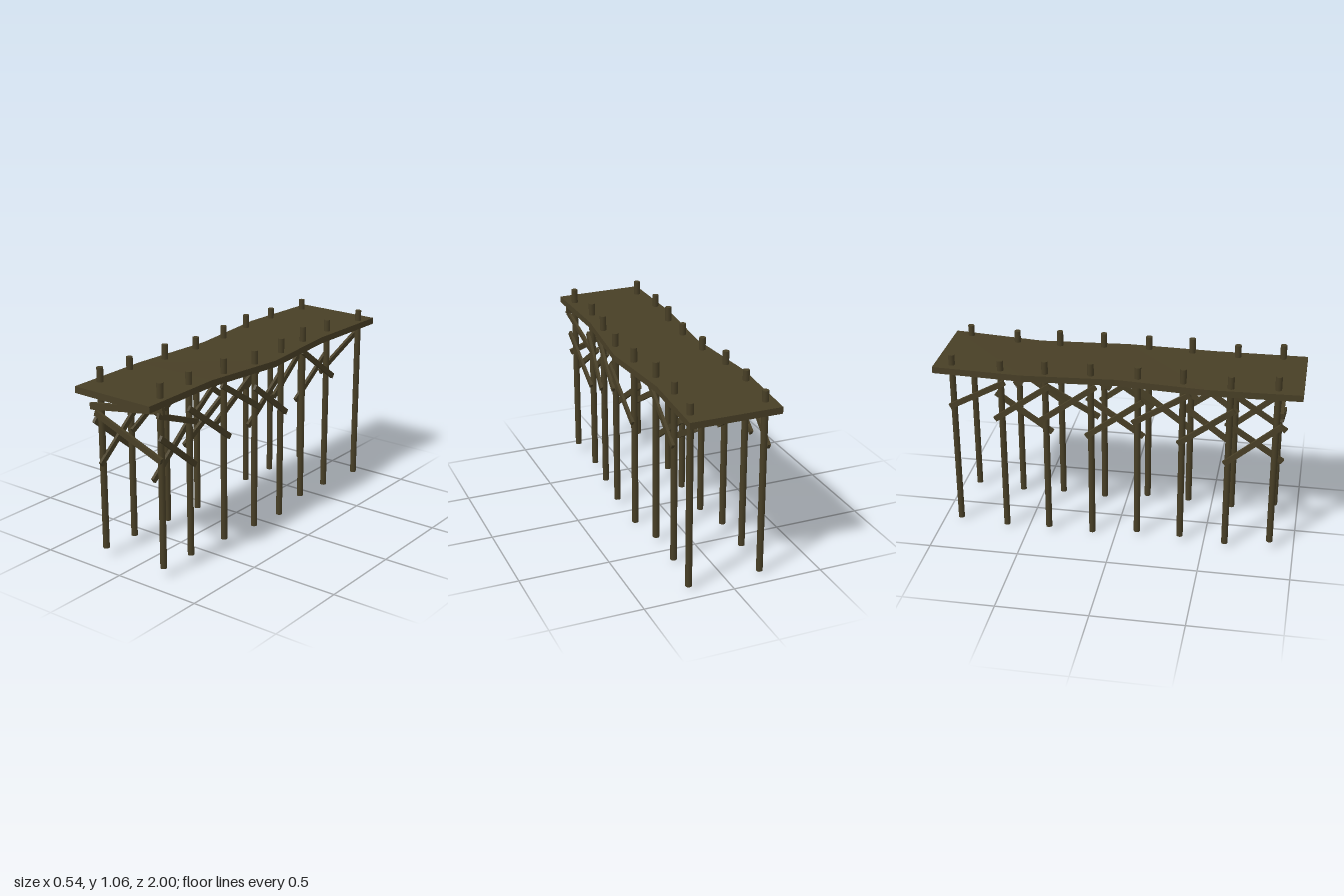
import * as THREE from 'three';

const wood = new THREE.MeshStandardMaterial({ color: 0x483f26 });
wood.name = 'dark wood';

const POST_R = 0.018;
// pile rows from front to back: z, right x, left x, bottom y, top y
const ROWS = [
  [0.867, -0.21, 0.19, 0.055, 1.065],
  [0.62, -0.23, 0.17, 0.03, 1.055],
  [0.365, -0.205, 0.195, 0.035, 1.065],
  [0.12, -0.19, 0.215, 0.03, 1.05],
  [-0.135, -0.195, 0.205, 0.005, 1.055],
  [-0.38, -0.22, 0.18, 0.03, 1.06],
  [-0.625, -0.22, 0.18, 0.02, 1.045],
  [-0.903, -0.19, 0.215, 0.02, 1.045],
];
// deck stations: z, right edge x, left edge x, right top y, left top y
const DECK = [
  [1, -0.26, 0.235, 0.988, 0.985],
  [0.5, -0.27, 0.225, 0.985, 0.985],
  [0, -0.23, 0.267, 0.985, 0.972],
  [-0.5, -0.27, 0.225, 0.988, 0.975],
  [-1, -0.24, 0.26, 0.985, 0.985],
];
// braces per bay: falling toward the back, then rising: front z, front y, back z, back y
const FALLING = [
  [0.90, 0.785, 0.60, 0.545], [0.645, 0.866, 0.345, 0.63],
  [0.405, 0.93, 0.095, 0.725], [0.15, 0.855, -0.16, 0.625],
  [-0.105, 0.925, -0.41, 0.71], [-0.35, 0.925, -0.66, 0.70],
  [-0.60, 0.925, -0.92, 0.74],
];
const RISING = [
  [0.91, 0.55, 0.60, 0.77], [0.635, 0.65, 0.36, 0.84],
  [0.40, 0.71, 0.095, 0.925], [0.15, 0.625, -0.16, 0.84],
  [-0.095, 0.725, -0.41, 0.92], [-0.35, 0.625, -0.66, 0.84],
  [-0.60, 0.73, -0.93, 0.915],
];

// rectangular plank between two points; flat faces the given normal
function plank(name, a, b, normal, width, thick) {
  const dir = b.clone().sub(a);
  const len = dir.length();
  dir.normalize();
  const up = new THREE.Vector3().crossVectors(dir, normal).normalize();
  const n = new THREE.Vector3().crossVectors(up, dir);
  const mesh = new THREE.Mesh(new THREE.BoxGeometry(thick, width, len), wood);
  mesh.name = name;
  mesh.quaternion.setFromRotationMatrix(new THREE.Matrix4().makeBasis(n, up, dir));
  mesh.position.copy(a).add(b).multiplyScalar(0.5);
  return mesh;
}

// winding slab lofted through the deck stations
function deckGeometry() {
  const t = 0.036, tri = [];
  const rings = DECK.map(([z, x0, x1, y0, y1]) => [
    [x0, y0, z], [x1, y1, z], [x1, y1 - t, z], [x0, y0 - t, z],
  ]);
  const quad = (a, b, c, d) => tri.push(...a, ...b, ...c, ...a, ...c, ...d);
  for (let i = 0; i < rings.length - 1; i++) {
    const f = rings[i], k = rings[i + 1];
    for (let j = 0; j < 4; j++) {
      const m = (j + 1) % 4;
      quad(f[j], f[m], k[m], k[j]);
    }
  }
  const f = rings[0], k = rings[rings.length - 1];
  quad(f[3], f[2], f[1], f[0]);
  quad(k[0], k[1], k[2], k[3]);
  const g = new THREE.BufferGeometry();
  g.setAttribute('position', new THREE.Float32BufferAttribute(tri, 3));
  g.computeVertexNormals();
  return g;
}

export function createModel() {
  const model = new THREE.Group();
  model.name = 'pier';

  const deck = new THREE.Mesh(deckGeometry(), wood);
  deck.name = 'deck';
  model.add(deck);

  // piles
  const piles = new THREE.Group();
  piles.name = 'piles';
  for (const [z, xr, xl, y0, y1] of ROWS) {
    for (const x of [xr, xl]) {
      const pile = new THREE.Mesh(new THREE.CylinderGeometry(POST_R, POST_R, y1 - y0, 10), wood);
      pile.name = 'pile';
      pile.position.set(x, (y0 + y1) / 2, z);
      piles.add(pile);
    }
  }
  model.add(piles);

  // side braces: falling ones outside the piles, rising ones inside
  const braces = new THREE.Group();
  braces.name = 'sideBraces';
  const sideNormal = new THREE.Vector3(1, 0, 0);
  const addBrace = (bay, col, offset, [z0, y0, z1, y1]) => {
    const p = ROWS[bay], q = ROWS[bay + 1];
    const xAt = (z) => p[col] + (q[col] - p[col]) * (z - p[0]) / (q[0] - p[0]) + offset;
    braces.add(plank('sideBrace',
      new THREE.Vector3(xAt(z0), y0, z0), new THREE.Vector3(xAt(z1), y1, z1),
      sideNormal, 0.03, 0.016));
  };
  for (let bay = 0; bay < 7; bay++) {
    for (const [col, side] of [[1, -1], [2, 1]]) {
      const off = side * (POST_R + 0.004);
      if (side < 0 || (bay !== 4 && bay !== 6)) addBrace(bay, col, off, FALLING[bay]);
      if (side > 0 || bay !== 6) addBrace(bay, col, -off, RISING[bay]);
    }
  }
  addBrace(0, 2, POST_R + 0.006, [0.92, 0.91, 0.59, 0.78]);
  model.add(braces);

  // cross braces on the front pair of piles
  const frontNormal = new THREE.Vector3(0, 0, 1);
  const zf = ROWS[0][0] + POST_R + 0.01;
  model.add(
    plank('frontBrace', new THREE.Vector3(-0.255, 0.855, zf), new THREE.Vector3(0.235, 0.932, zf), frontNormal, 0.036, 0.018),
    plank('frontBrace', new THREE.Vector3(-0.225, 0.825, zf), new THREE.Vector3(0.215, 0.66, zf), frontNormal, 0.032, 0.018),
  );
  return model;
}
